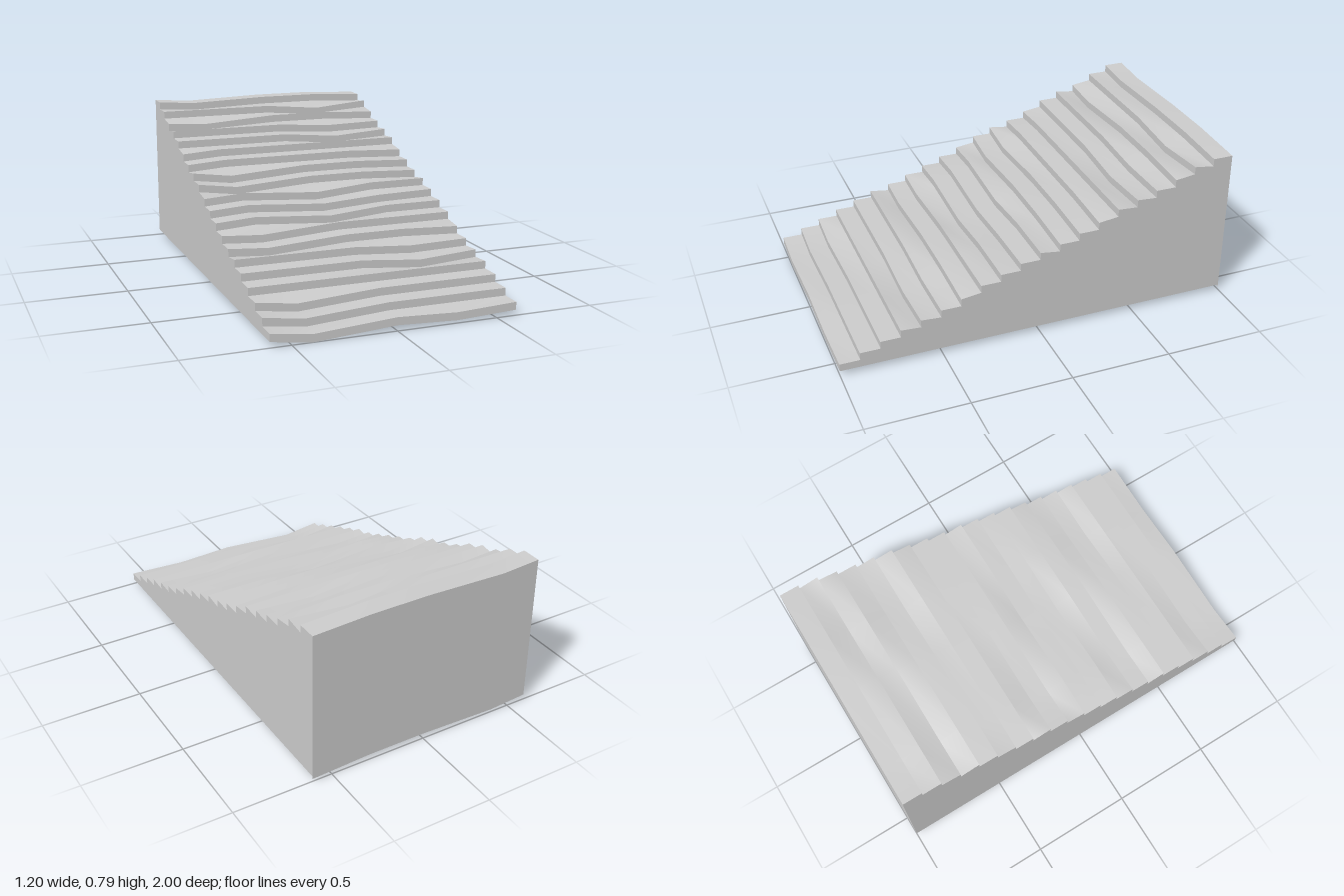
import * as THREE from 'three';

const XS = [-0.6, -0.4, 0, 0.3, 0.6];
const BASE = 0.028, RISE = 0.038, RUN = 0.1, STEPS = 20, DIP = 0.0135;

// Wear of each step edge across the width, in units of DIP
const WEAR = [
  [0, 2, 0, 1, 0], [0, 2, 0, 0, 0], [0, 2, 0, 0, 0], [0, 0, 0, 0, 0], [0, 0, 0, 2, 0.5],
  [0, 0, 0, 1.5, 1], [1, 2, 0, 0, 1], [1, 2, 0, 0, 0], [1, 0, 2, 0, 0], [1, 0, 2, 0.5, 0],
  [1, 0, 2, 0, 0], [0, 2, 0, 0, 1], [0, 2, 0, 0, 1], [1, 0, 0, 0, 1], [1, 0, 0, 0, 0],
  [0, 0, 0, 2, 0.5], [0, 0, 0, 1.5, 1], [1, 2, 0, 0, 1], [0, 0, 0, 2, 0], [0, 1, 0, 0, 1],
];

const material = new THREE.MeshStandardMaterial({ color: 0xcccccc, side: THREE.DoubleSide });

// Row of points across the stairs at edge line j, for a given level
function edge(j, level) {
  const wear = WEAR[Math.min(j, STEPS - 1)];
  return XS.map((x, i) => [x, BASE + RISE * level - DIP * wear[i], 1 - RUN * j]);
}

// Strip of quads between two rows of points
function ribbon(name, a, b) {
  const n = a.length, index = [];
  for (let i = 0; i < n - 1; i++) index.push(i, i + 1, n + i + 1, i, n + i + 1, n + i);
  const geometry = new THREE.BufferGeometry();
  geometry.setAttribute('position', new THREE.Float32BufferAttribute([...a, ...b].flat(), 3));
  geometry.setIndex(index);
  geometry.computeVertexNormals();
  const mesh = new THREE.Mesh(geometry, material);
  mesh.name = name;
  return mesh;
}

export function createModel() {
  const stairs = new THREE.Group();
  stairs.name = 'wornStairs';

  // Worn risers and treads
  for (let j = 0; j < STEPS; j++) {
    const step = new THREE.Group();
    step.name = `step${j + 1}`;
    step.add(ribbon('riser', edge(j, j), edge(j, j + 1)));
    step.add(ribbon('tread', edge(j, j + 1), edge(j + 1, j + 1)));
    stairs.add(step);
  }

  // Stepped side walls; the underside stays open
  for (const [name, col] of [['rightWall', 0], ['leftWall', XS.length - 1]]) {
    const bottom = [], top = [];
    for (let j = 0; j < STEPS; j++) {
      for (const k of [j, j + 1]) {
        top.push(edge(k, j + 1)[col]);
        bottom.push([XS[col], BASE, 1 - RUN * k]);
      }
    }
    stairs.add(col ? ribbon(name, bottom, top) : ribbon(name, top, bottom));
  }

  // Back wall
  stairs.add(ribbon('backWall', edge(STEPS, STEPS), edge(STEPS, 0)));
  return stairs;
}
